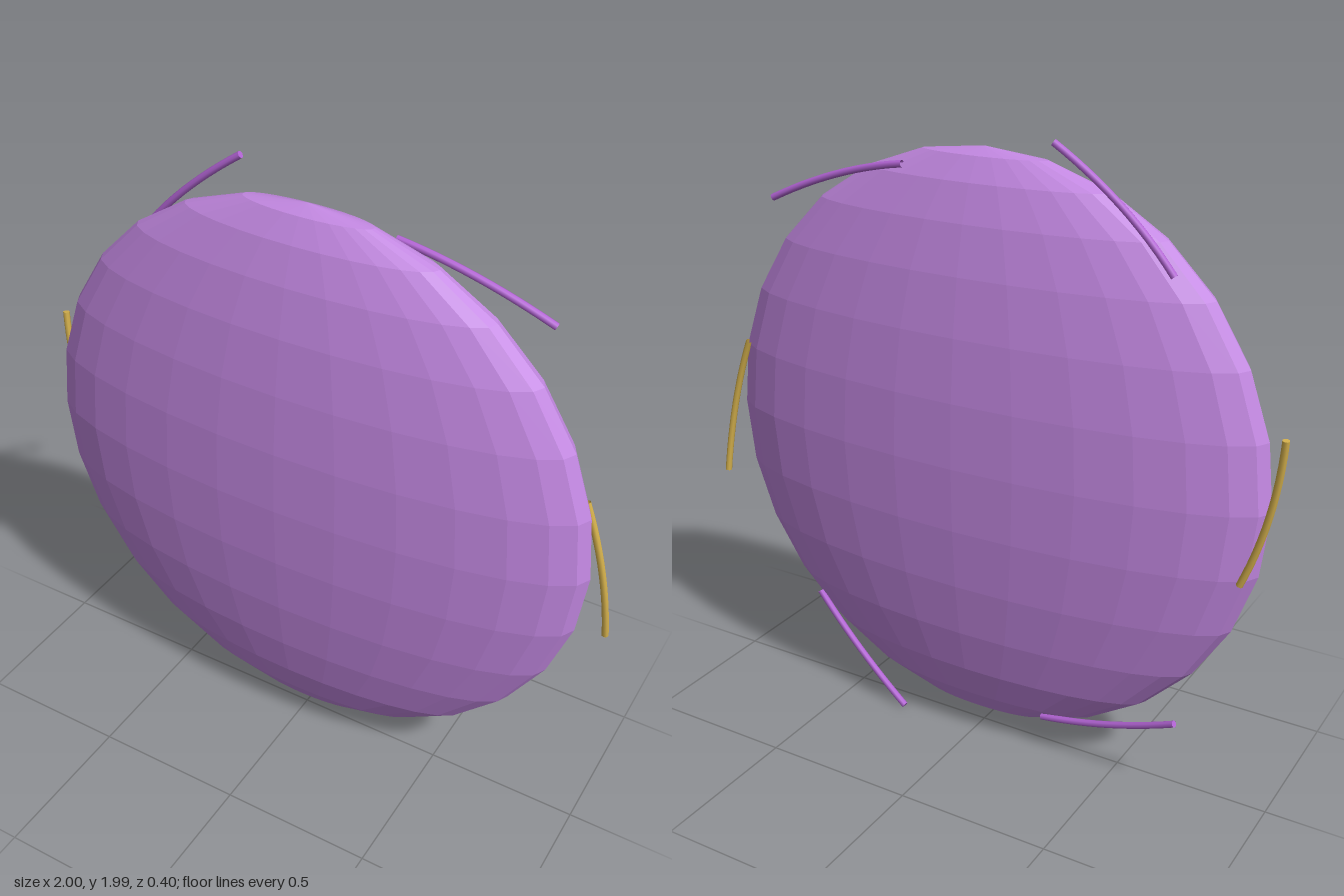
import * as THREE from 'three';

function material(name, color, extra = {}) {
  const m = new THREE.MeshStandardMaterial({ color, ...extra });
  m.name = name;
  return m;
}

export function createModel() {
  const model = new THREE.Group();
  model.name = 'finnedDisc';
  const orchid = material('orchid', 0xc388e2, { flatShading: true });
  const violet = material('violet', 0xb465d6, { side: THREE.DoubleSide });
  const gold = material('gold', 0xd4b04c, { side: THREE.DoubleSide });

  // Faceted, flattened body
  const bodyGeometry = new THREE.SphereGeometry(0.94, 28, 14);
  bodyGeometry.scale(1, 1, 0.2 / 0.94);
  const body = new THREE.Mesh(bodyGeometry, orchid);
  body.name = 'body';
  body.position.y = 1;
  model.add(body);

  // Six curved whiskers, swept clockwise around the rim and bent backwards
  const curve = new THREE.QuadraticBezierCurve3(
    new THREE.Vector3(0.88, 0.22, -0.055),
    new THREE.Vector3(0.97, 0, -0.055),
    new THREE.Vector3(0.988, -0.26, -0.083)
  );
  const whiskerGeometry = new THREE.TubeGeometry(curve, 12, 0.011, 8);
  const tipGeometry = new THREE.CircleGeometry(0.011, 8);
  const facing = new THREE.Quaternion().setFromUnitVectors(
    new THREE.Vector3(0, 0, 1), curve.getTangent(1));

  for (let i = 0; i < 6; i++) {
    const colour = i % 3 === 0 ? gold : violet;
    const whisker = new THREE.Group();
    whisker.name = `rimWhisker${i + 1}`;
    const tube = new THREE.Mesh(whiskerGeometry, colour);
    tube.name = 'whiskerTube';
    const tip = new THREE.Mesh(tipGeometry, colour);
    tip.name = 'whiskerTip';
    tip.position.copy(curve.getPoint(1));
    tip.quaternion.copy(facing);
    whisker.add(tube, tip);
    whisker.position.y = 1;
    whisker.rotation.z = (i * Math.PI) / 3;
    model.add(whisker);
  }
  return model;
}
